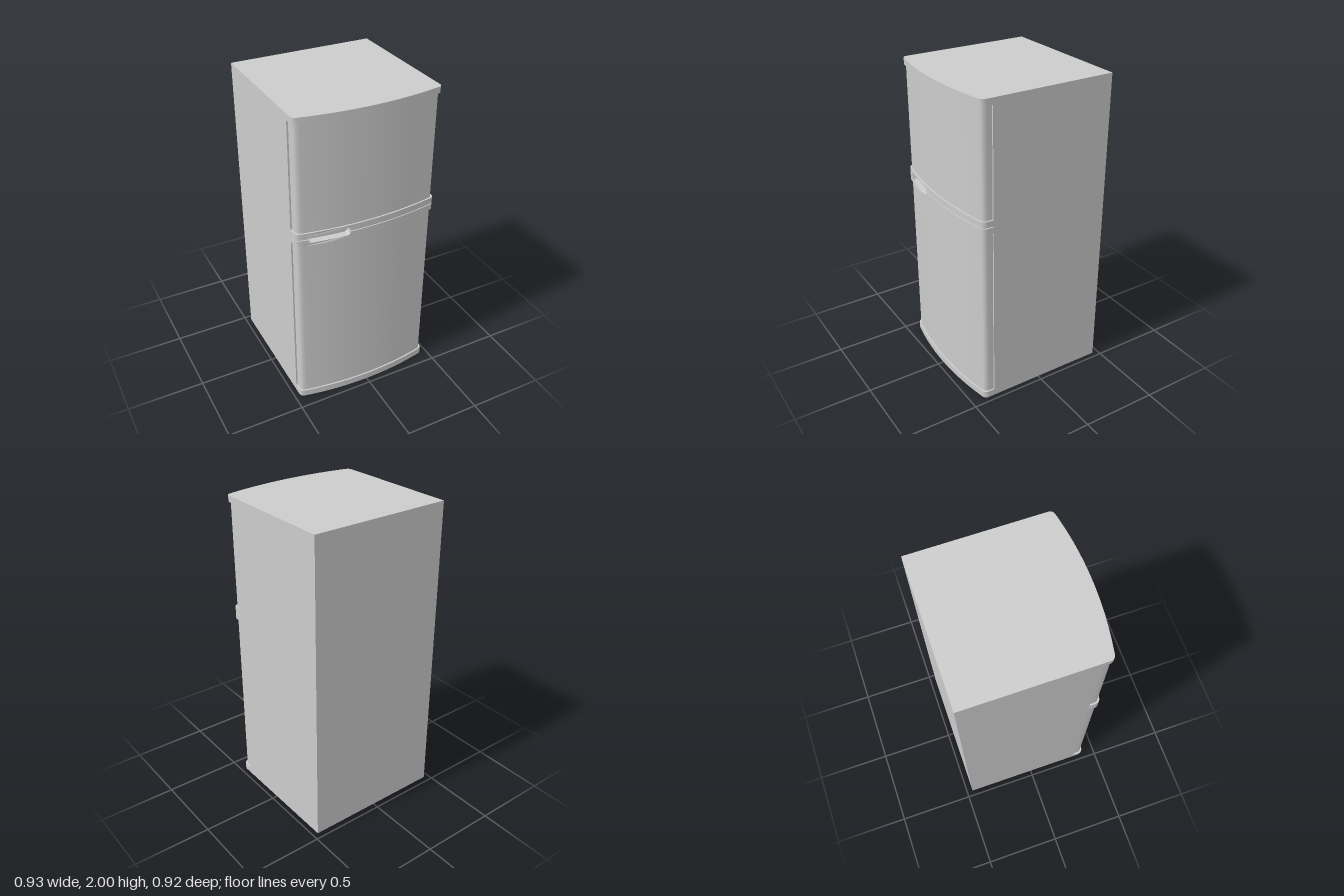
import * as THREE from 'three';
import { toCreasedNormals } from 'three/addons/utils/BufferGeometryUtils.js';

const HALF = 0.465, CORNER = 0.435, SEAM_Z = 0.34;
const SLOT = { x0: -0.39, x1: -0.135, half: 0.025, r: 0.018 };
const MID = 1.232, BAND0 = 1.19, BAND1 = 1.275;

// Gently bowed front: depth at a given x
const bow = (x) => 0.46 - 0.045 * (x / CORNER) ** 2;

// Plan outline between x0 and x1 (whole width by default), set back by inset
function plan(inset, x0 = -HALF, x1 = HALF) {
  const c = CORNER - inset, w = HALF - inset, pts = [];
  const corner = new THREE.QuadraticBezierCurve(
    new THREE.Vector2(c, bow(c) - inset),
    new THREE.Vector2(w, bow(c) - inset - 0.006),
    new THREE.Vector2(w, 0.38 - inset)).getPoints(8);
  const left = x0 <= -HALF, right = x1 >= HALF;
  const a = left ? -c : x0, b = right ? c : x1;
  pts.push(new THREE.Vector2(left ? -w : x0, SEAM_Z));
  if (left) corner.slice(1).reverse().forEach((p) => pts.push(new THREE.Vector2(-p.x, p.y)));
  const n = Math.max(4, Math.ceil((b - a) * 36));
  for (let i = 0; i <= n; i++) {
    const x = a + (b - a) * i / n;
    pts.push(new THREE.Vector2(x, bow(x) - inset));
  }
  if (right) pts.push(...corner.slice(1));
  pts.push(new THREE.Vector2(right ? w : x1, SEAM_Z));
  return new THREE.Shape(pts);
}

export function createModel() {
  const group = new THREE.Group();
  const material = new THREE.MeshStandardMaterial({ color: 0xcccccc });

  function add(name, geometry) {
    const mesh = new THREE.Mesh(toCreasedNormals(geometry, 0.4), material);
    mesh.name = name;
    group.add(mesh);
  }
  function slab(name, y0, y1, inset, x0, x1) {
    const g = new THREE.ExtrudeGeometry(plan(inset, x0, x1), { depth: y1 - y0, bevelEnabled: false });
    add(name, g.rotateX(Math.PI / 2).translate(0, y1, 0));
  }

  // Cabinet
  add('cabinet', new THREE.BoxGeometry(HALF * 2, 2, 0.8).translate(0, 1, -0.06));

  // Door panels and the trims at top and bottom
  slab('lowerDoorPanel', 0.045, BAND0, 0.01);
  slab('upperDoorPanel', BAND1, 1.96, 0.01);
  slab('bottomTrim', 0, 0.045, 0);
  slab('topTrim', 1.96, 2, 0);

  // Middle trims either side of the handle, with a thin gap between the doors
  const gap = 0.0025, f0 = -0.42, f1 = -0.105;
  for (const [x0, x1] of [[-HALF, f0], [f1, HALF]]) {
    slab('lowerDoorTrim', BAND0, MID - gap, 0, x0, x1);
    slab('upperDoorTrim', MID + gap, BAND1, 0, x0, x1);
    slab('doorGasket', BAND0, BAND1, 0.01, x0, x1);
  }
  slab('handlePocketBack', BAND0, BAND1, 0.045, f0, f1);

  // Trim around the handle pocket: each half carries half of the rounded slot
  function handleTrim(name, s, outerY) {
    const pts = [], N = 16;
    const put = (x, dy) => pts.push(new THREE.Vector2(x, MID + s * dy));
    put(f0, gap);
    put(SLOT.x0, gap);
    for (let i = 0; i <= 5; i++) {
      const t = Math.PI / 2 * i / 5;
      put(SLOT.x0 + SLOT.r * (1 - Math.cos(t)), SLOT.half - SLOT.r * (1 - Math.sin(t)));
    }
    const a = SLOT.x0 + SLOT.r, b = SLOT.x1 - SLOT.r;
    for (let i = 1; i < N; i++) put(a + (b - a) * i / N, SLOT.half);
    for (let i = 5; i >= 0; i--) {
      const t = Math.PI / 2 * i / 5;
      put(SLOT.x1 - SLOT.r * (1 - Math.cos(t)), SLOT.half - SLOT.r * (1 - Math.sin(t)));
    }
    put(SLOT.x1, gap);
    put(f1, gap);
    for (let i = 0; i <= N; i++) pts.push(new THREE.Vector2(f1 + (f0 - f1) * i / N, outerY));
    const g = new THREE.ExtrudeGeometry(new THREE.Shape(pts), { depth: 1, bevelEnabled: false });
    const p = g.attributes.position;
    for (let i = 0; i < p.count; i++) p.setZ(i, p.getZ(i) > 0.5 ? bow(p.getX(i)) : SEAM_Z);
    add(name, g);
  }
  handleTrim('upperHandleTrim', 1, BAND1);
  handleTrim('lowerHandleTrim', -1, BAND0);

  return group;
}
